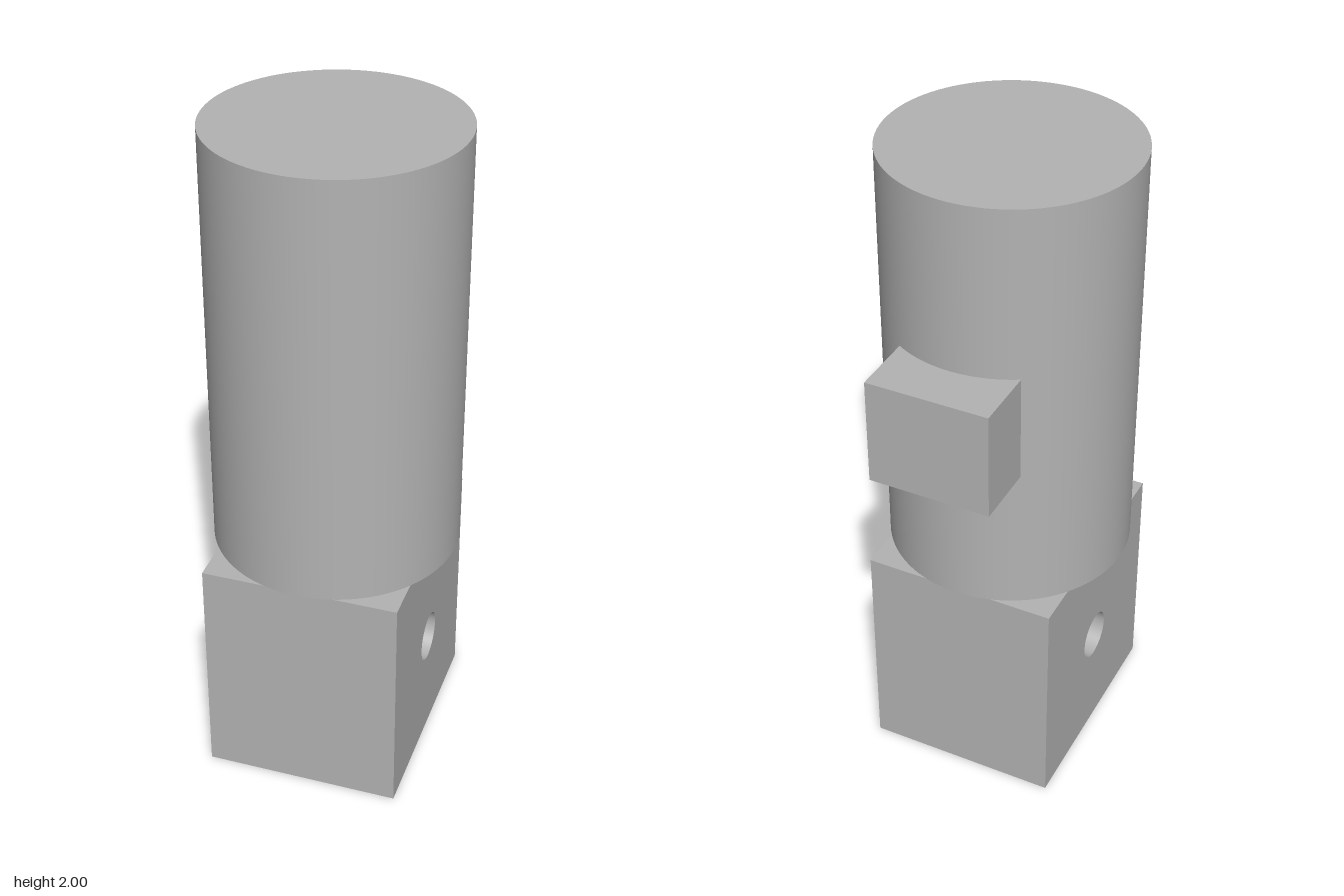
import * as THREE from 'three';

export function createModel() {
  const model = new THREE.Group();
  const grey = new THREE.MeshStandardMaterial({ color: 0xb3b3b3 });
  grey.name = 'plain grey';

  const axisZ = 0.073, radius = 0.367, blockTop = 0.71;
  const add = (name, geometry) => {
    const mesh = new THREE.Mesh(geometry, grey);
    mesh.name = name;
    model.add(mesh);
    return mesh;
  };

  // Main cylinder
  const body = add('cylinderBody', new THREE.CylinderGeometry(radius, radius, 2 - blockTop, 96));
  body.position.set(0, (2 + blockTop) / 2, axisZ);

  // Base block, drawn in side profile (z, y) with a round cross hole
  const width = 0.587, halfDepth = 0.352;
  const profile = new THREE.Shape([
    new THREE.Vector2(axisZ - halfDepth, 0),
    new THREE.Vector2(axisZ + halfDepth, 0),
    new THREE.Vector2(axisZ + halfDepth, blockTop),
    new THREE.Vector2(axisZ - halfDepth, blockTop),
  ]);
  profile.holes.push(new THREE.Path().absarc(axisZ, 0.355, 0.075, 0, Math.PI * 2, true));
  const block = new THREE.ExtrudeGeometry(profile, { depth: width, bevelEnabled: false, curveSegments: 32 });
  block.translate(0, 0, -width / 2).rotateY(-Math.PI / 2);
  add('baseBlock', block);

  // Rear lug, its inner side following the cylinder
  const half = 0.183, back = 0.44, a = Math.asin(half / radius);
  const outline = new THREE.Shape();
  outline.moveTo(half, back);
  outline.lineTo(-half, back);
  outline.absarc(0, -axisZ, radius, Math.PI / 2 + a, Math.PI / 2 - a, true);
  outline.closePath();
  const lug = new THREE.ExtrudeGeometry(outline, { depth: 0.325, bevelEnabled: false, curveSegments: 24 });
  lug.rotateX(-Math.PI / 2).translate(0, 1.165, 0);
  add('rearLug', lug);

  return model;
}
